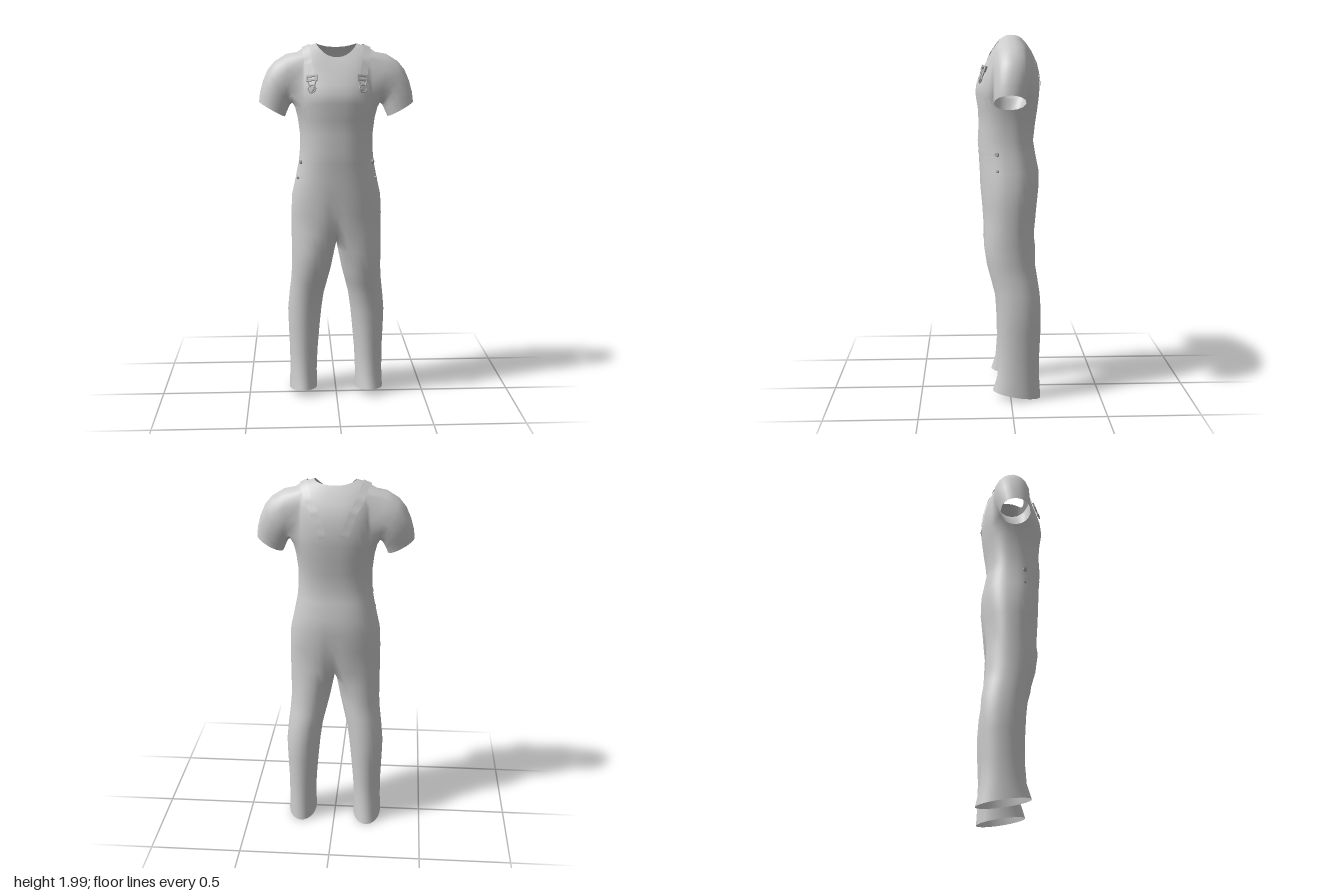
import * as THREE from 'three';

const N = 48, SIDE = 5;
const cloth = new THREE.MeshStandardMaterial({ color: 0xcccccc, side: THREE.DoubleSide });
cloth.name = 'light grey cloth';
const metal = new THREE.MeshStandardMaterial({ color: 0xa8a8a8 });
metal.name = 'grey metal';

// Torso sections, crotch to neck: half width, front z, back z, height at side, front, back
const RINGS = [
  [0.25, 0.15, 0.14, 0.97, 0.97, 0.95],
  [0.25, 0.157, 0.152, 1.08, 1.08, 1.08],
  [0.245, 0.162, 0.162, 1.18, 1.18, 1.18],
  [0.225, 0.165, 0.16, 1.27, 1.27, 1.27],
  [0.207, 0.17, 0.142, 1.36, 1.36, 1.36],
  [0.2, 0.175, 0.13, 1.43, 1.43, 1.43],
  [0.2, 0.17, 0.14, 1.52, 1.52, 1.52],
  [0.21, 0.173, 0.152, 1.6, 1.6, 1.6],
  [0.225, 0.187, 0.162, 1.66, 1.69, 1.68],
  [0.232, 0.181, 0.165, 1.73, 1.74, 1.74],
  [0.232, 0.163, 0.157, 1.81, 1.785, 1.8],
  [0.228, 0.14, 0.145, 1.89, 1.83, 1.85],
  [0.212, 0.12, 0.125, 1.955, 1.87, 1.89],
  [0.165, 0.1, 0.1, 1.985, 1.905, 1.94],
  [0.11, 0.085, 0.07, 2.0, 1.93, 1.98],
];
const HOLE_LOW = 8, HOLE_HIGH = 12;

const bulge = (v) => Math.sign(v) * Math.abs(v) ** 0.85;

// Point of the torso at section j (may be fractional) and angle a (0 = left side, 90 degrees = front)
function torsoPoint(j, a) {
  const k = Math.min(Math.floor(j), RINGS.length - 2);
  const [w, zf, zb, ys, yf, yb] = RINGS[k].map((v, n) => THREE.MathUtils.lerp(v, RINGS[k + 1][n], j - k));
  const c = Math.cos(a), s = Math.sin(a);
  const x = w * bulge(c);
  const dent = 1 - 0.14 * Math.max(0, 1 - j / 2) * Math.exp(-((x / 0.04) ** 2));
  return new THREE.Vector3(x, ys * c * c + (s > 0 ? yf : yb) * s * s, (s > 0 ? zf : zb) * bulge(s) * dent);
}

function torsoNormal(j, a) {
  const up = torsoPoint(j + 0.1, a).sub(torsoPoint(j - 0.1, a));
  const round = torsoPoint(j, a + 0.05).sub(torsoPoint(j, a - 0.05));
  return up.cross(round).normalize();
}

function toGeometry(points, index) {
  const g = new THREE.BufferGeometry().setFromPoints(points);
  g.setIndex(index);
  g.computeVertexNormals();
  return g;
}

// One continuous skin: torso with arm holes, then sleeves and legs sewn to its open loops
function buildSkin() {
  const pts = [], index = [];
  const id = (j, i) => j * N + ((i % N) + N) % N;
  RINGS.forEach((_, j) => {
    for (let i = 0; i < N; i++) pts.push(torsoPoint(j, (i / N) * Math.PI * 2));
  });
  for (let j = 0; j < RINGS.length - 1; j++) {
    for (let i = 0; i < N; i++) {
      const m = (i + SIDE) % (N / 2);
      if (j >= HOLE_LOW && j < HOLE_HIGH && m < SIDE * 2) continue;
      const a = id(j, i), b = id(j + 1, i), c = id(j + 1, i + 1), d = id(j, i + 1);
      index.push(a, b, c, a, c, d);
    }
  }

  // Lofts elliptical sections { c, u, v } on from a loop of existing points
  function sew(loop, sections) {
    const { c, u, v } = sections[0];
    const angles = loop.map((n) => {
      const p = pts[n].clone().sub(c);
      return Math.atan2(p.dot(v) / v.lengthSq(), p.dot(u) / u.lengthSq());
    });
    let last = loop;
    for (const s of sections) {
      const next = angles.map((t) =>
        pts.push(s.c.clone().addScaledVector(s.u, Math.cos(t)).addScaledVector(s.v, Math.sin(t))) - 1);
      for (let k = 0; k < loop.length; k++) {
        const n = (k + 1) % loop.length;
        index.push(last[k], last[n], next[k], last[n], next[n], next[k]);
      }
      last = next;
    }
  }

  // Sleeves: top x, top y, underside x, underside y, half depth, centre z
  const sleeve = [
    [0.27, 1.945, 0.238, 1.682, 0.106, -0.004],
    [0.335, 1.905, 0.25, 1.675, 0.102, -0.005],
    [0.372, 1.86, 0.257, 1.664, 0.1, -0.005],
    [0.398, 1.8, 0.264, 1.648, 0.096, 0],
    [0.414, 1.74, 0.272, 1.63, 0.09, 0.006],
    [0.42, 1.69, 0.28, 1.61, 0.085, 0.01],
  ];
  // Legs: height, outer x, inner x, front z, back z
  const leg = [
    [0.87, 0.25, 0.008, 0.146, -0.135],
    [0.76, 0.25, 0.03, 0.13, -0.135],
    [0.68, 0.256, 0.05, 0.108, -0.148],
    [0.6, 0.266, 0.07, 0.087, -0.16],
    [0.5, 0.275, 0.084, 0.076, -0.166],
    [0.4, 0.272, 0.094, 0.07, -0.165],
    [0.25, 0.266, 0.107, 0.066, -0.158],
    [0.13, 0.266, 0.112, 0.075, -0.158],
    [0.03, 0.27, 0.11, 0.1, -0.165],
  ];

  // Crotch seam from front to back
  const seam = [];
  const front = pts[id(0, N / 4)], back = pts[id(0, -N / 4)];
  for (let k = 1; k < 8; k++) {
    const p = front.clone().lerp(back, k / 8);
    p.y -= 0.05 * Math.sin((k / 8) * Math.PI);
    seam.push(pts.push(p) - 1);
  }

  for (const side of [1, -1]) {
    const mid = side > 0 ? 0 : N / 2;
    const loop = [];
    for (let i = -SIDE; i < SIDE; i++) loop.push(id(HOLE_HIGH, mid + i));
    for (let j = HOLE_HIGH; j > HOLE_LOW; j--) loop.push(id(j, mid + SIDE));
    for (let i = SIDE; i > -SIDE; i--) loop.push(id(HOLE_LOW, mid + i));
    for (let j = HOLE_LOW; j < HOLE_HIGH; j++) loop.push(id(j, mid - SIDE));
    sew(loop, sleeve.map(([tx, ty, bx, by, hz, z]) => ({
      c: new THREE.Vector3(side * (tx + bx) / 2, (ty + by) / 2, z),
      u: new THREE.Vector3(side * (tx - bx) / 2, (ty - by) / 2, 0),
      v: new THREE.Vector3(0, 0, hz),
    })));

    const hips = [];
    for (let i = -N / 4; i <= N / 4; i++) hips.push(id(0, mid + i));
    hips.push(...(side > 0 ? seam : [...seam].reverse()));
    sew(hips, leg.map(([y, xo, xi, zf, zb], k) => {
      const hem = k === leg.length - 1;
      const rear = hem && side < 0 ? zb - 0.02 : zb;
      return {
        c: new THREE.Vector3(side * (xo + xi) / 2, y, (zf + rear) / 2),
        u: new THREE.Vector3(side * (xo - xi) / 2, 0, 0),
        v: new THREE.Vector3(0, hem ? 0.022 : 0, (zf - rear) / 2),
      };
    }));
  }
  return toGeometry(pts, index);
}

// Flat band lying on the torso along a path of [section, degrees]
function band(path, half, lift, side) {
  const curve = new THREE.CatmullRomCurve3(path.map(([j, d]) => new THREE.Vector3(j, THREE.MathUtils.degToRad(d), 0)));
  const at = curve.getPoints(40);
  const mids = at.map((q) => torsoPoint(q.x, q.y));
  const pts = [], index = [];
  mids.forEach((m, k) => {
    const n = torsoNormal(at[k].x, at[k].y);
    const along = mids[Math.min(k + 1, 40)].clone().sub(mids[Math.max(k - 1, 0)]);
    const across = along.cross(n).normalize().multiplyScalar(half);
    m.addScaledVector(n, lift);
    for (const s of [-1, 1]) {
      const p = m.clone().addScaledVector(across, s);
      p.x *= side;
      pts.push(p);
    }
    if (k) index.push(2 * k - 2, 2 * k - 1, 2 * k, 2 * k - 1, 2 * k + 1, 2 * k);
  });
  return toGeometry(pts, index);
}

export function createModel() {
  const model = new THREE.Group();
  model.name = 'overalls';
  const add = (name, geometry, material, parent = model) => {
    const mesh = new THREE.Mesh(geometry, material);
    mesh.name = name;
    parent.add(mesh);
    return mesh;
  };

  add('shirtAndTrousers', buildSkin(), cloth);
  add('waistSeam', band([[4.1, 22], [4.1, 90], [4.1, 158]], 0.003, 0.002, 1), cloth);

  const strapPath = [[10, 58], [11.4, 52], [12.5, 35], [13, 5], [12.8, -30], [11.5, -62], [10, -73], [8.8, -80]];
  for (const side of [1, -1]) {
    const label = side > 0 ? 'left' : 'right';
    add(label + 'Strap', band(strapPath, 0.021, 0.004, side), cloth);
    add(label + 'BibEdge', band([[8.6, 48], [7.5, 41], [6.3, 32], [4.1, 22]], 0.003, 0.002, side), cloth);

    // Buckle: wire loop, slider bars and stud
    const buckle = new THREE.Group();
    buckle.name = label + 'Buckle';
    const spot = torsoPoint(10, THREE.MathUtils.degToRad(58));
    buckle.position.set(side * spot.x, spot.y + 0.003, spot.z + 0.008);
    buckle.rotation.set(-0.35, side * 0.3, 0);
    for (const y of [0.04, 0.018]) {
      add('sliderBar', new THREE.BoxGeometry(0.06, 0.01, 0.01), metal, buckle).position.y = y;
    }
    for (const x of [-1, 1]) {
      add('sliderSide', new THREE.BoxGeometry(0.008, 0.03, 0.01), metal, buckle).position.set(x * 0.026, 0.029, 0);
      const wire = add('wire', new THREE.CylinderGeometry(0.004, 0.004, 0.045, 8), metal, buckle);
      wire.position.set(x * 0.017, -0.003, 0);
      wire.rotation.z = -x * 0.3;
    }
    add('ring', new THREE.TorusGeometry(0.02, 0.004, 8, 20), metal, buckle).position.y = -0.03;
    const stud = add('stud', new THREE.CylinderGeometry(0.012, 0.012, 0.012, 16), metal, buckle);
    stud.position.y = -0.03;
    stud.rotation.x = Math.PI / 2;
    model.add(buckle);

    // Hip buttons
    [[4.1, 0.013], [3.1, 0.008]].forEach(([j, r]) => {
      const a = THREE.MathUtils.degToRad(22);
      const n = torsoNormal(j, a);
      const button = add(label + 'HipButton', new THREE.CylinderGeometry(r * 0.8, r, 0.012, 16), metal);
      button.position.copy(torsoPoint(j, a)).addScaledVector(n, 0.003);
      button.position.x *= side;
      n.x *= side;
      button.quaternion.setFromUnitVectors(new THREE.Vector3(0, 1, 0), n);
    });
  }
  return model;
}
